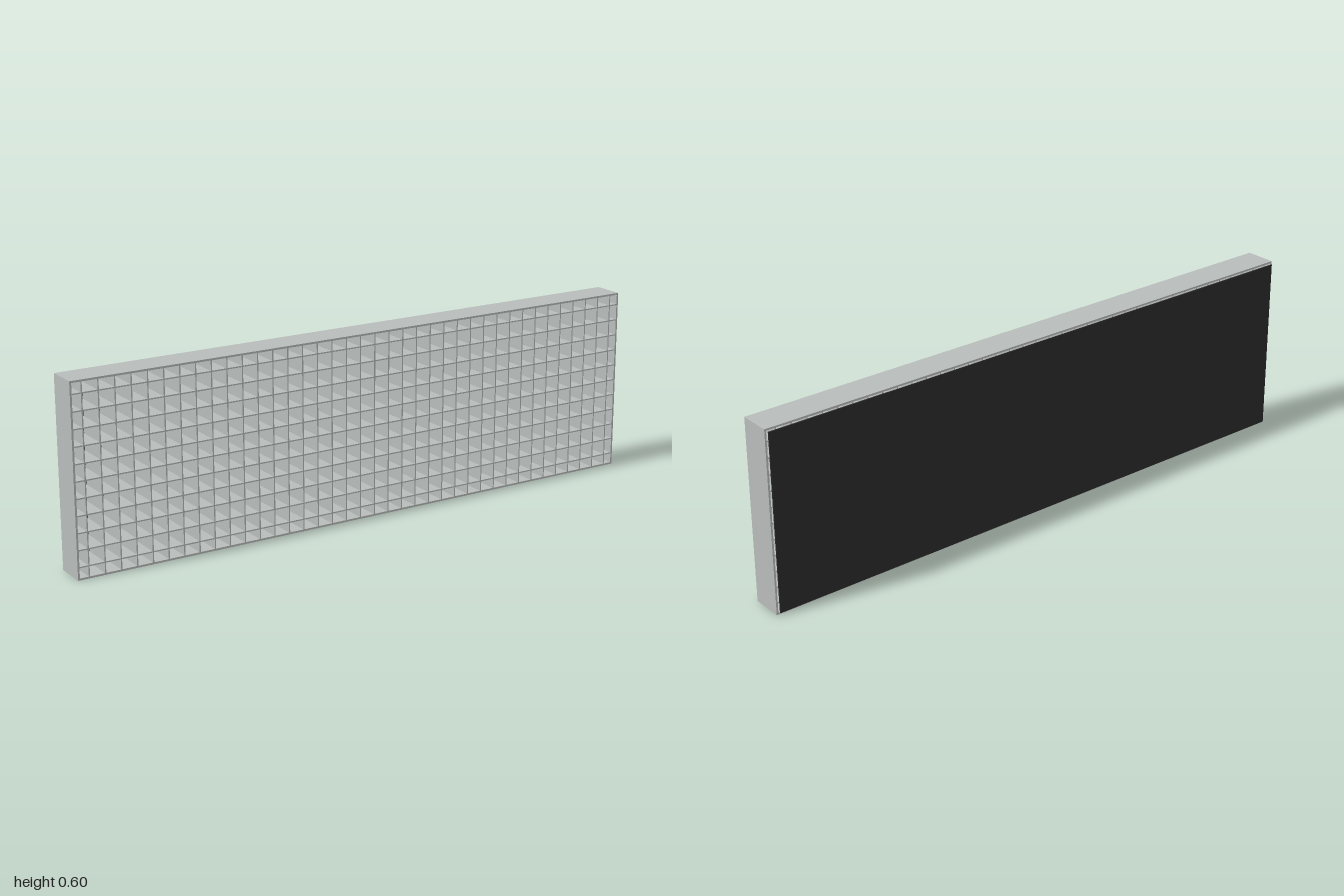
import * as THREE from 'three';

export function createModel() {
  const W = 2, H = 0.6, PITCH = 0.0521, RIM = 0.006, BAR = 0.004;
  const FRONT = 0.056, BACK = -0.047, DEPTH = FRONT - BACK, MID = (FRONT + BACK) / 2;

  const metal = new THREE.MeshStandardMaterial({ color: 0xb8bcbb });
  metal.name = 'light grey metal';
  const dark = new THREE.MeshStandardMaterial({ color: 0x2b2b2b });
  dark.name = 'dark backing';

  const model = new THREE.Group();
  model.name = 'eggcrateGrille';

  const addBox = (parent, name, material, size, pos) => {
    const mesh = new THREE.Mesh(new THREE.BoxGeometry(...size), material);
    mesh.name = name;
    mesh.position.set(...pos);
    parent.add(mesh);
  };

  // Thin outer frame, open at front and back
  const outline = new THREE.Shape([
    new THREE.Vector2(-W / 2, 0), new THREE.Vector2(W / 2, 0),
    new THREE.Vector2(W / 2, H), new THREE.Vector2(-W / 2, H),
  ]);
  outline.holes.push(new THREE.Path([
    new THREE.Vector2(-W / 2 + RIM, RIM), new THREE.Vector2(-W / 2 + RIM, H - RIM),
    new THREE.Vector2(W / 2 - RIM, H - RIM), new THREE.Vector2(W / 2 - RIM, RIM),
  ]));
  const frame = new THREE.Mesh(
    new THREE.ExtrudeGeometry(outline, { depth: DEPTH, bevelEnabled: false }), metal);
  frame.name = 'frame';
  frame.position.z = BACK;
  model.add(frame);

  // Crossing slats, set out from the middle so the edge cells are narrower
  const slats = new THREE.Group();
  slats.name = 'slats';
  model.add(slats);
  for (let i = -18.5; i <= 18.5; i++) {
    addBox(slats, 'verticalSlat', metal, [BAR, H - 2 * RIM, DEPTH], [i * PITCH, H / 2, MID]);
  }
  for (let j = -5; j <= 5; j++) {
    addBox(slats, 'horizontalSlat', metal, [W - 2 * RIM, BAR, DEPTH], [0, H / 2 + j * PITCH, MID]);
  }

  // Backing plate, slightly smaller and just clear of the frame
  addBox(model, 'backingPlate', dark, [W - 0.016, H - 0.016, 0.004], [0, H / 2, -0.054]);

  return model;
}
